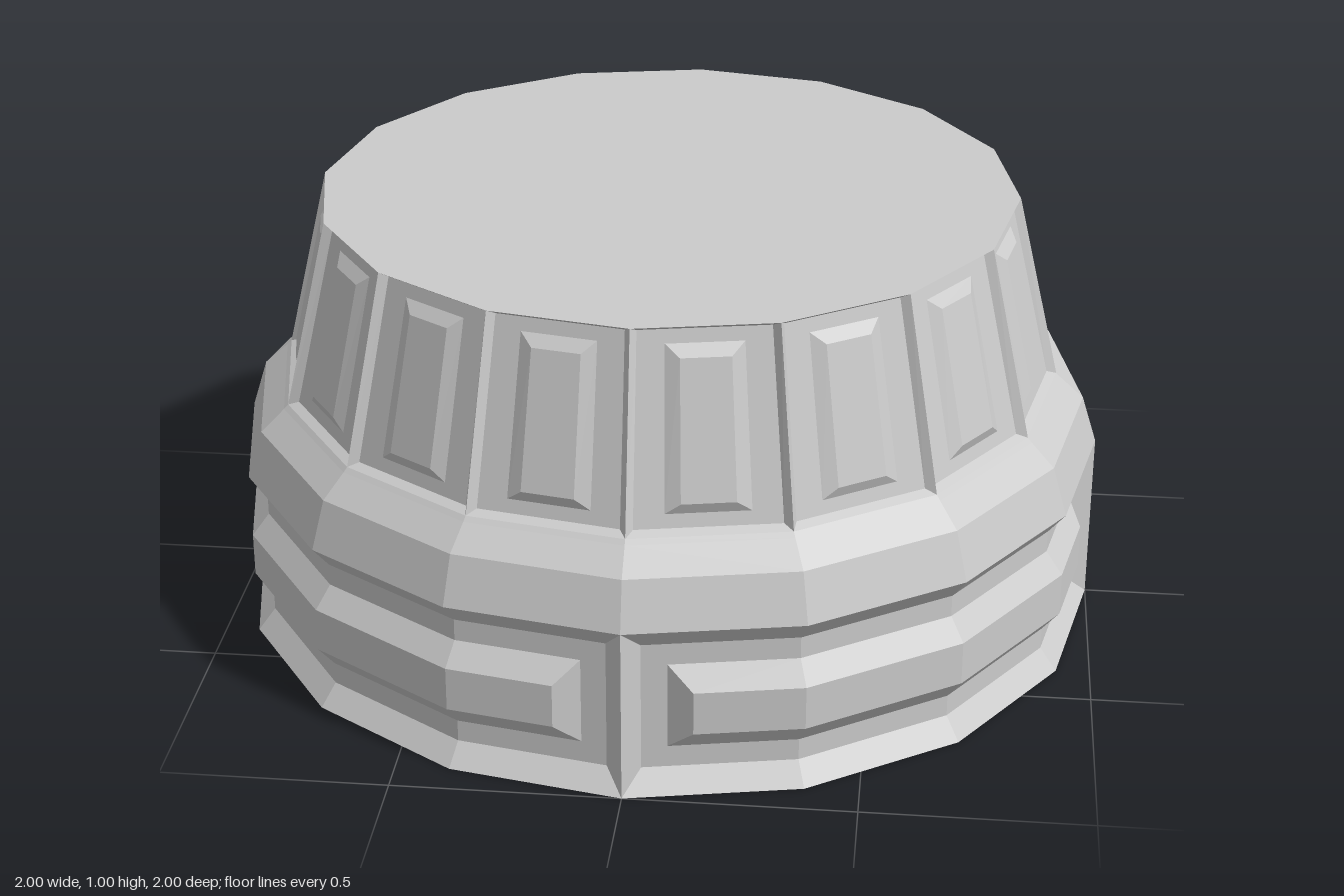
import * as THREE from 'three';

const SIDES = 16;
const material = new THREE.MeshStandardMaterial({ color: 0xcccccc, flatShading: true });

// Point on the 16-sided wall: u counts faces around, r is the corner radius
function wallPoint(u, y, r) {
  const i = Math.floor(u), t = u - i;
  const a = (i / SIDES) * Math.PI * 2, b = ((i + 1) / SIDES) * Math.PI * 2;
  return [
    r * (Math.sin(a) * (1 - t) + Math.sin(b) * t),
    y,
    r * (Math.cos(a) * (1 - t) + Math.cos(b) * t),
  ];
}

// Panels repeated around the wall, each spanning `span` faces.
// Every loop is a nested rectangle: [side margin, bottom y, top y, depth]
function panelledWall(name, span, loops, radiusAt) {
  const pos = [];
  const quad = (a, b, c, d) => pos.push(...a, ...b, ...c, ...a, ...c, ...d);
  for (let start = 0; start < SIDES; start += span) {
    const rings = loops.map(([m, y0, y1, depth]) => {
      const us = [start + m];
      for (let k = 1; k < span; k++) us.push(start + k);
      us.push(start + span - m);
      const row = (y) => us.map((u) => wallPoint(u, y, radiusAt(y) - depth));
      return { low: row(y0), high: row(y1) };
    });
    // Bevels between neighbouring loops
    for (let k = 0; k + 1 < rings.length; k++) {
      const o = rings[k], n = rings[k + 1];
      for (let j = 0; j < span; j++) {
        quad(o.low[j], o.low[j + 1], n.low[j + 1], n.low[j]);
        quad(n.high[j], n.high[j + 1], o.high[j + 1], o.high[j]);
      }
      quad(o.low[0], n.low[0], n.high[0], o.high[0]);
      quad(n.low[span], o.low[span], o.high[span], n.high[span]);
    }
    // Raised face in the middle
    const c = rings[rings.length - 1];
    for (let j = 0; j < span; j++) quad(c.low[j], c.low[j + 1], c.high[j + 1], c.high[j]);
  }
  const geo = new THREE.BufferGeometry();
  geo.setAttribute('position', new THREE.Float32BufferAttribute(pos, 3));
  geo.computeVertexNormals();
  return makeMesh(name, geo);
}

function makeMesh(name, geo) {
  const mesh = new THREE.Mesh(geo, material);
  mesh.name = name;
  return mesh;
}

function cap(name, radius, y, up) {
  const mesh = makeMesh(name, new THREE.CircleGeometry(radius, SIDES));
  mesh.rotation.x = up ? -Math.PI / 2 : Math.PI / 2;
  mesh.position.y = y;
  return mesh;
}

export function createModel() {
  const group = new THREE.Group();
  group.name = 'panelledPedestal';

  // Base band: four long grooved panels meeting at sharp posts
  group.add(panelledWall('baseBand', 4, [
    [0, 0, 0.4, 0],
    [0.1, 0.05, 0.35, 0.04],
    [0.25, 0.1, 0.3, 0.04],
    [0.39, 0.15, 0.25, 0],
  ], () => 1));

  // Sloping shoulder between base and upper body
  const profile = [[1, 0.4], [0.965, 0.51], [0.91, 0.56], [0.9, 0.57]];
  group.add(makeMesh('shoulder', new THREE.LatheGeometry(
    profile.map(([x, y]) => new THREE.Vector2(x, y)), SIDES)));

  // Tapered upper body: one raised panel per face
  group.add(panelledWall('upperBody', 1, [
    [0, 0.57, 1, 0],
    [0.04, 0.58, 0.99, 0.018],
    [0.23, 0.61, 0.96, 0.018],
    [0.33, 0.635, 0.935, 0.003],
  ], (y) => 0.9 - ((y - 0.57) / 0.43) * 0.103));

  group.add(cap('topFace', 0.797, 1, true));
  group.add(cap('bottomFace', 1, 0, false));
  return group;
}
